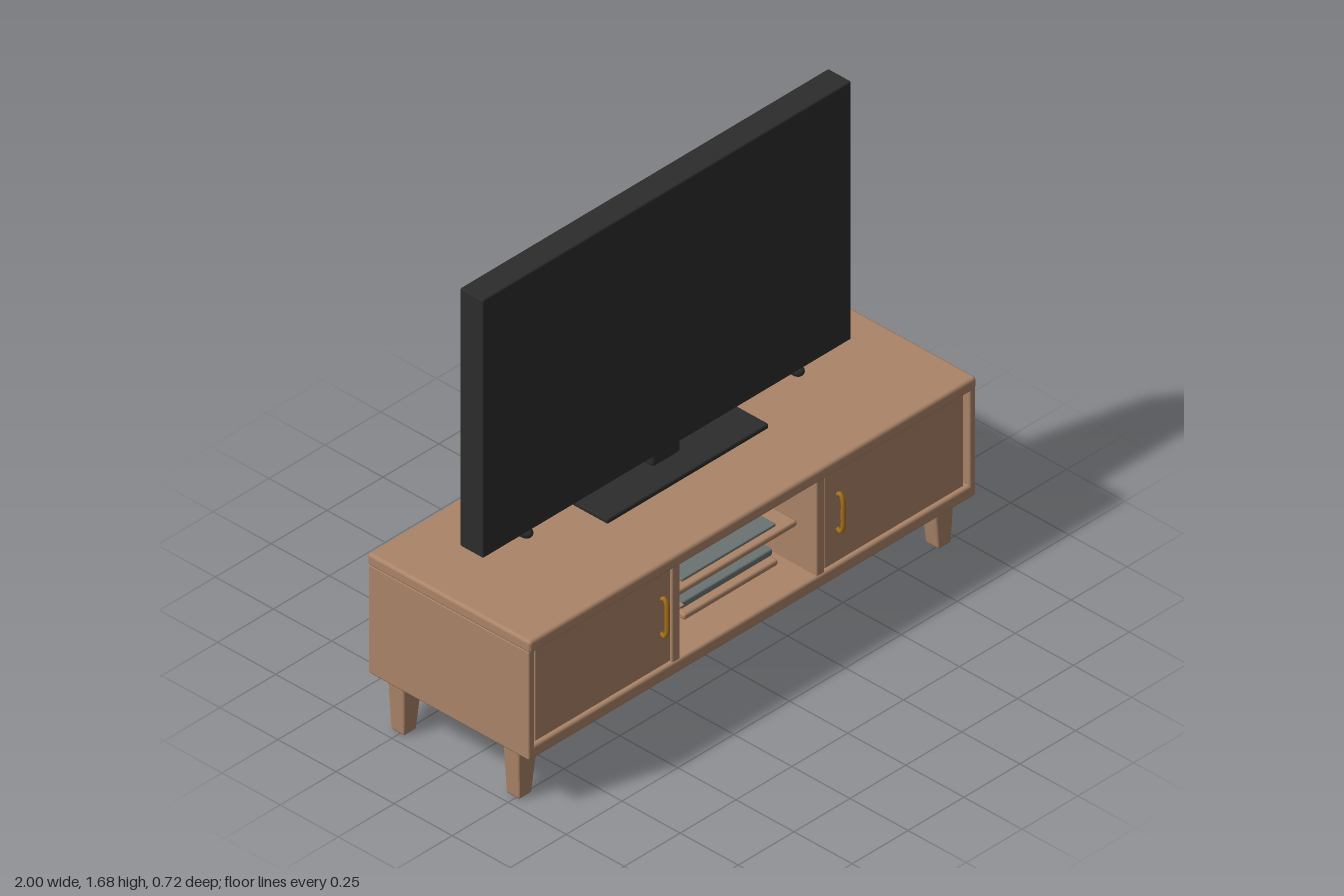
import * as THREE from 'three';
import { RoundedBoxGeometry } from 'three/addons/geometries/RoundedBoxGeometry.js';

const mat = (name, color) => new THREE.MeshStandardMaterial({ name, color });

export function createModel() {
  const wood = mat('wood', 0xab8468);
  const black = mat('blackPlastic', 0x2c2c2c);
  const brass = mat('brass', 0xa8721a);
  const grey = mat('greyDevice', 0x6b7373);

  const model = new THREE.Group();
  model.name = 'televisionOnCabinet';
  const cabinet = new THREE.Group();
  cabinet.name = 'cabinet';
  const television = new THREE.Group();
  television.name = 'television';
  model.add(cabinet, television);

  const add = (parent, name, geometry, material) => {
    const mesh = new THREE.Mesh(geometry, material);
    mesh.name = name;
    parent.add(mesh);
    return mesh;
  };
  // Rounded block given by its limits on each axis
  const block = (parent, name, material, [x0, x1], [y0, y1], [z0, z1], r = 0.006) => {
    const g = new RoundedBoxGeometry(x1 - x0, y1 - y0, z1 - z0, 2, r);
    const mesh = add(parent, name, g, material);
    mesh.position.set((x0 + x1) / 2, (y0 + y1) / 2, (z0 + z1) / 2);
    return mesh;
  };

  // Cabinet shell
  block(cabinet, 'top', wood, [-1, 1], [0.603, 0.65], [-0.357, 0.345], 0.012);
  block(cabinet, 'bottom', wood, [-1, 1], [0.197, 0.245], [-0.352, 0.34], 0.01);
  for (const s of [-1, 1]) {
    block(cabinet, 'side', wood, [s * 0.9875 - 0.0125, s * 0.9875 + 0.0125], [0.2, 0.61], [-0.352, 0.34]);
  }
  for (const x of [-0.335, 0.312]) {
    block(cabinet, 'divider', wood, [x - 0.018, x + 0.018], [0.24, 0.61], [-0.35, 0.335]);
  }

  // Doors and back panels leave a narrow gap at the sides
  block(cabinet, 'rightDoor', wood, [-0.962, -0.357], [0.25, 0.6], [0.305, 0.33], 0.004);
  block(cabinet, 'leftDoor', wood, [0.333, 0.955], [0.25, 0.6], [0.305, 0.33], 0.004);
  for (const [x0, x1] of [[-0.962, -0.35], [-0.32, 0.296], [0.328, 0.955]]) {
    block(cabinet, 'backPanel', wood, [x0, x1], [0.243, 0.605], [-0.338, -0.32], 0.003);
  }

  // Bow handles
  for (const x of [-0.396, 0.392]) {
    const path = new THREE.CatmullRomCurve3([
      [0.375, 0.328], [0.368, 0.342], [0.385, 0.352], [0.44, 0.354],
      [0.495, 0.352], [0.51, 0.342], [0.503, 0.328],
    ].map(([y, z]) => new THREE.Vector3(x, y, z)));
    add(cabinet, 'handle', new THREE.TubeGeometry(path, 24, 0.008, 8), brass);
  }

  // Open shelves with thin devices
  block(cabinet, 'upperShelf', wood, [-0.28, 0.28], [0.408, 0.43], [-0.3, 0.265], 0.008);
  block(cabinet, 'lowerShelf', wood, [-0.21, 0.21], [0.288, 0.31], [-0.3, 0.25], 0.008);
  block(cabinet, 'upperDevice', grey, [-0.21, 0.21], [0.43, 0.441], [-0.2, 0.24], 0.004);
  block(cabinet, 'lowerDevice', grey, [-0.205, 0.205], [0.318, 0.343], [-0.2, 0.23], 0.006);
  block(cabinet, 'deviceFoot', black, [-0.17, 0.17], [0.308, 0.32], [-0.16, 0.2], 0.004);
  block(cabinet, 'sideTray', wood, [-0.28, -0.2], [0.333, 0.342], [-0.2, 0.24], 0.003);

  // Legs taper towards the floor
  for (const sx of [-1, 1]) {
    for (const z of [0.238, -0.258]) {
      const g = new RoundedBoxGeometry(0.09, 0.2, 0.074, 2, 0.01);
      const p = g.attributes.position;
      for (let i = 0; i < p.count; i++) {
        const t = 0.5 - p.getY(i) / 0.2;
        p.setX(i, p.getX(i) * (1 - 0.38 * t) + sx * 0.008 * t);
        p.setZ(i, p.getZ(i) * (1 - 0.22 * t));
      }
      g.computeVertexNormals();
      add(cabinet, 'leg', g, wood).position.set(sx * 0.931, 0.1, z);
    }
  }

  // Screen casing in two steps
  block(television, 'screenCasing', black, [-0.833, 0.816], [0.708, 1.685], [-0.118, -0.018], 0.006);
  block(television, 'rearFrame', black, [-0.797, 0.78], [0.73, 1.665], [-0.135, -0.1], 0.008);

  // Bulging back cover: a plane pushed outward by a depth rule
  const xs = [-0.785, -0.775, -0.76, -0.73, -0.65, -0.5, -0.35, -0.17, 0,
    0.17, 0.35, 0.5, 0.65, 0.73, 0.76, 0.775, 0.785];
  const rows = [[1.655, 0], [1.645, 0.018], [1.62, 0.034], [1.58, 0.063], [1.545, 0.085],
    [1.525, 0.09], [1.4, 0.09], [1.2, 0.084], [1.05, 0.076], [0.9, 0.062], [0.86, 0.05],
    [0.8, 0.027], [0.755, 0.012], [0.74, 0]];
  const cover = new THREE.PlaneGeometry(1, 1, xs.length - 1, rows.length - 1);
  const p = cover.attributes.position;
  for (let i = 0; i < p.count; i++) {
    const x = xs[i % xs.length];
    const [y, depth] = rows[Math.floor(i / xs.length)];
    const edge = THREE.MathUtils.smoothstep(0.785 - Math.abs(x), 0, 0.045);
    const bow = 1 - 0.42 * (x / 0.785) ** 2;
    p.setXYZ(i, -x - 0.008, y, -0.133 - depth * edge * bow);
  }
  cover.computeVertexNormals();
  add(television, 'backCover', cover, black);

  // Stand
  block(television, 'standBase', black, [-0.373, 0.35], [0.65, 0.669], [-0.215, 0.075], 0.006);
  block(television, 'standNeck', black, [-0.07, 0.056], [0.665, 0.72], [-0.15, -0.02], 0.012);
  const bracket = new RoundedBoxGeometry(0.13, 0.18, 0.06, 3, 0.02);
  const b = bracket.attributes.position;
  for (let i = 0; i < b.count; i++) {
    b.setX(i, b.getX(i) * (1 - 0.8 * (b.getY(i) + 0.09)));
  }
  bracket.computeVertexNormals();
  add(television, 'standBracket', bracket, black).position.set(-0.008, 0.755, -0.158);

  // Small round feet under the casing
  for (const x of [-0.615, 0.6]) {
    const foot = add(television, 'casingFoot', new THREE.SphereGeometry(0.022, 16, 12), black);
    foot.position.set(x, 0.688, -0.05);
    foot.scale.z = 1.5;
  }
  return model;
}
